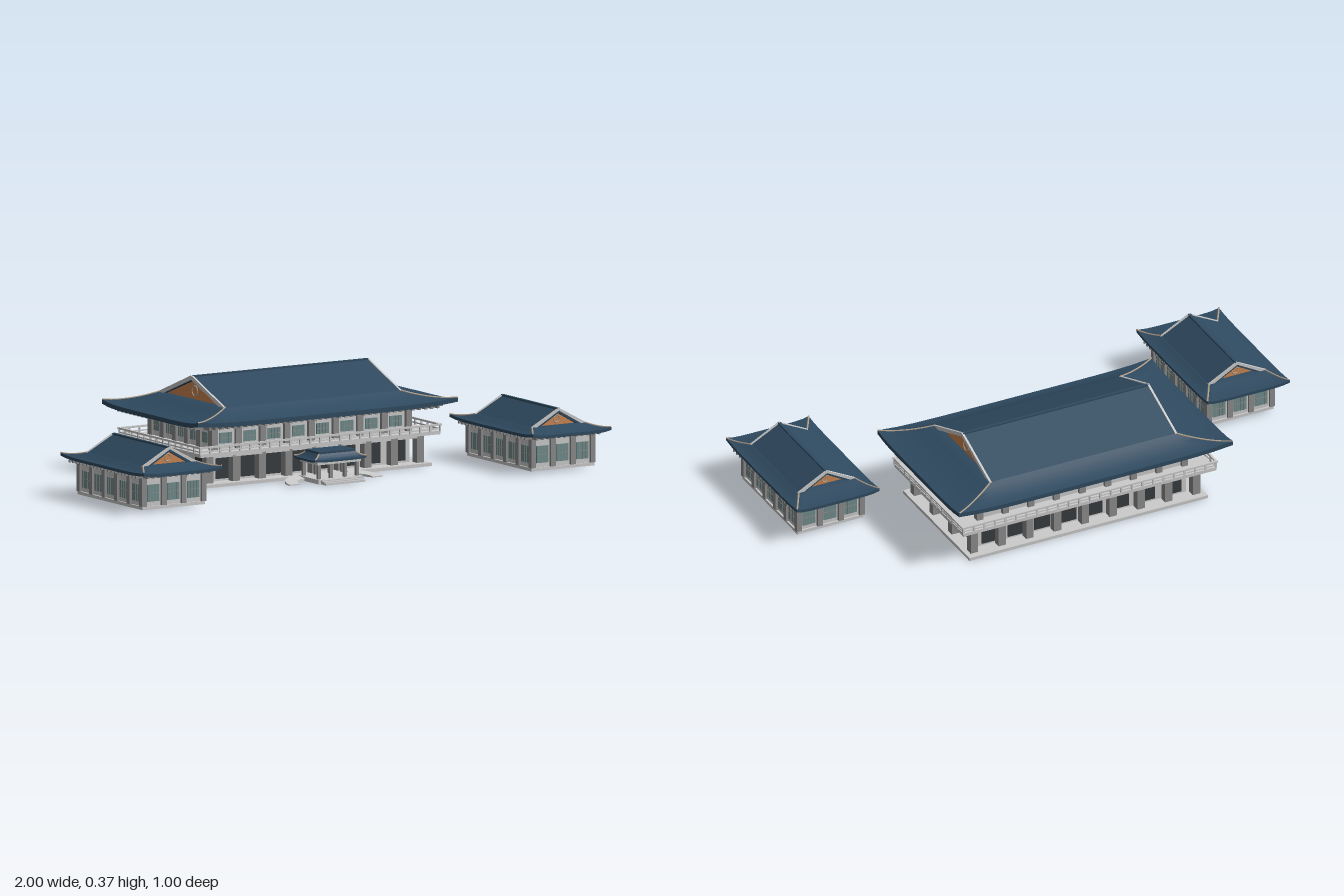
import * as THREE from 'three';
import { toCreasedNormals } from 'three/addons/utils/BufferGeometryUtils.js';

const mat = (color, side = THREE.FrontSide) => new THREE.MeshStandardMaterial({ color, side });
const WALL = mat(0xcccccc), COLUMN = mat(0x8c8c8c), TILE = mat(0x2f4a60), GABLE = mat(0xcb8550);
const GLASS = mat(0x6f8c8c), DARK = mat(0x383c3e), TRIM = mat(0xb8a590);

function add(parent, name, geo, material, x = 0, y = 0, z = 0, ry = 0) {
  const m = new THREE.Mesh(geo, material);
  m.name = name;
  m.position.set(x, y, z);
  m.rotation.y = ry;
  parent.add(m);
  return m;
}

// Box given by its size and its bottom and top heights
const box = (p, name, w, y0, y1, d, material, x = 0, z = 0, ry = 0) =>
  add(p, name, new THREE.BoxGeometry(w, y1 - y0, d), material, x, (y0 + y1) / 2, z, ry);

function group(parent, name, x = 0, y = 0, z = 0) {
  const g = new THREE.Group();
  g.name = name;
  g.position.set(x, y, z);
  parent.add(g);
  return g;
}

// Calls fn(x, z, rotation) at the bay centres (or bay boundaries) along all four sides
function around(hx, hz, nx, nz, fn, boundaries = false) {
  const o = boundaries ? 0 : 0.5;
  for (const s of [1, -1]) {
    for (let i = 0; i < nx; i++) fn(s * hx * (-1 + 2 * (i + o) / nx), s * hz, s > 0 ? 0 : Math.PI);
    for (let i = 0; i < nz; i++) fn(s * hx, -s * hz * (-1 + 2 * (i + o) / nz), s * Math.PI / 2);
  }
}

// Hipped skirt: rectangular rings [hx, hz, y, corner lift] joined into one surface
function loft(rings, n = 14) {
  const pos = [], idx = [], N = 4 * n;
  for (const [hx, hz, y, lift] of rings) {
    const c = [[hx, hz], [hx, -hz], [-hx, -hz], [-hx, hz]];
    for (let s = 0; s < 4; s++) for (let k = 0; k < n; k++) {
      const f = k / n, a = c[s], b = c[(s + 1) % 4];
      pos.push(a[0] + (b[0] - a[0]) * f, y + lift * Math.abs(2 * f - 1) ** 6, a[1] + (b[1] - a[1]) * f);
    }
  }
  for (let r = 0; r < rings.length - 1; r++) for (let k = 0; k < N; k++) {
    const a = r * N + k, b = r * N + (k + 1) % N;
    idx.push(a, a + N, b, b, a + N, b + N);
  }
  const g = new THREE.BufferGeometry();
  g.setAttribute('position', new THREE.Float32BufferAttribute(pos, 3));
  g.setIndex(idx);
  return toCreasedNormals(g, 0.5);
}

function skirtRoof(p, { L, D, G, M, eave, mid, lift, thick, inX, inZ }) {
  const rings = [[G * 0.8, M * 0.8, mid, 0]], steps = 6;
  for (let i = 0; i <= steps; i++) {
    const t = i / steps;
    rings.push([G + (L - G) * t, M + (D - M) * t, eave + (mid - eave) * (1 - t) ** 1.6, lift * t * t]);
  }
  const hips = rings.slice(1);
  rings.push([L, D, eave - thick, lift], [inX, inZ, eave - thick, 0]);
  add(p, 'lowerRoof', loft(rings), TILE);
  // Hip ridges at the four corners
  for (const sx of [1, -1]) for (const sz of [1, -1]) {
    const pts = hips.map(([x, z, y, l]) => new THREE.Vector3(sx * x, y + l, sz * z));
    add(p, 'hipRidge', new THREE.TubeGeometry(new THREE.CatmullRomCurve3(pts), 12, 0.0035, 5), TRIM);
  }
}

// Sloped pair of roof planes as a chevron, extruded along x
function chevron(hz, y0, y1, t, depth) {
  const s = new THREE.Shape();
  [[-hz, y0], [-hz + t * 2.4, y0], [0, y1 - t], [hz - t * 2.4, y0], [hz, y0], [0, y1]]
    .forEach(([x, y], i) => (i ? s.lineTo(x, y) : s.moveTo(x, y)));
  return new THREE.ExtrudeGeometry(s, { depth, bevelEnabled: false })
    .translate(0, 0, -depth / 2).rotateY(Math.PI / 2);
}

// Hip-and-gable roof with its ridge along x
function gableRoof(p, o) {
  const { G, M, mid, ridge } = o;
  skirtRoof(p, o);
  add(p, 'upperRoof', chevron(M, mid, ridge, 0.015, 2 * G), TILE);
  const tri = new THREE.Shape();
  tri.moveTo(-M + 0.015, mid - 0.002); tri.lineTo(M - 0.015, mid - 0.002); tri.lineTo(0, ridge - 0.008);
  const d = 2 * (G - 0.014);
  add(p, 'gableWall', new THREE.ExtrudeGeometry(tri, { depth: d, bevelEnabled: false })
    .translate(0, 0, -d / 2).rotateY(Math.PI / 2), GABLE);
  box(p, 'ridgeBeam', 2 * G, ridge - 0.006, ridge + 0.003, 0.012, TILE);
  const r = (ridge - mid) * 0.22;
  for (const s of [1, -1]) {
    add(p, 'bargeBoard', chevron(M + 0.004, mid, ridge + 0.004, o.barge, 0.008), WALL, s * G);
    add(p, 'gableRing', new THREE.TorusGeometry(r, 0.0025, 6, 20), TRIM,
      s * (d / 2 + 0.001), mid + (ridge - mid) * 0.36, 0, Math.PI / 2);
  }
}

// Window or door panel with a frame and mullions, facing local +z
function panel(p, name, w, y0, y1, x, z, ry, material, bars) {
  const g = group(p, name, x, 0, z);
  g.rotation.y = ry;
  box(g, 'pane', w, y0, y1, 0.008, material);
  for (let i = 1; i <= bars; i++) box(g, 'mullion', 0.002, y0, y1, 0.011, COLUMN, w * (i / (bars + 1) - 0.5));
  if (bars) box(g, 'crossbar', w, (y0 + y1) / 2 - 0.001, (y0 + y1) / 2 + 0.001, 0.011, COLUMN);
}

function mainHall(root) {
  const g = group(root, 'mainHall', 0.006, 0, -0.175);
  box(g, 'baseSlab', 0.966, 0, 0.012, 0.53, WALL);
  // Ground floor with its colonnade
  box(g, 'groundFloor', 0.85, 0.012, 0.115, 0.41, WALL);
  around(0.425, 0.205, 8, 3, (x, z, r) =>
    panel(g, 'groundOpening', 0.064, 0.02, 0.098, x, z, r, DARK, 0));
  around(0.45, 0.225, 8, 3, (x, z) => box(g, 'groundColumn', 0.03, 0.012, 0.115, 0.03, COLUMN, x, z), true);
  box(g, 'balconyBeam', 0.93, 0.102, 0.118, 0.48, WALL);
  box(g, 'balconySlab', 1.025, 0.115, 0.128, 0.55, WALL);
  // Balcony railing
  for (const s of [1, -1]) {
    box(g, 'handrail', 1.035, 0.147, 0.154, 0.008, WALL, 0, s * 0.274);
    box(g, 'handrail', 0.008, 0.147, 0.154, 0.555, WALL, s * 0.513);
    box(g, 'lowerRail', 1.03, 0.133, 0.138, 0.004, WALL, 0, s * 0.272);
    box(g, 'lowerRail', 0.004, 0.133, 0.138, 0.55, WALL, s * 0.511);
  }
  around(0.512, 0.273, 24, 13, (x, z) => box(g, 'railPost', 0.006, 0.125, 0.15, 0.006, WALL, x, z), true);
  // Upper floor
  box(g, 'upperFloor', 0.83, 0.125, 0.224, 0.41, WALL);
  around(0.415, 0.205, 8, 5, (x, z, r) => {
    panel(g, 'upperWindow', 0.052, 0.148, 0.187, x, z, r, GLASS, 3);
    panel(g, 'transom', 0.052, 0.194, 0.204, x, z, r, WALL, 0);
  });
  around(0.415, 0.205, 8, 5, (x, z) => box(g, 'upperColumn', 0.025, 0.125, 0.215, 0.025, COLUMN, x, z), true);
  // Eave brackets and rafters
  around(0.43, 0.22, 32, 16, (x, z, r) => box(g, 'bracket', 0.01, 0.208, 0.224, 0.035, WALL, x, z, r));
  around(0.5, 0.272, 38, 20, (x, z, r) => box(g, 'rafter', 0.01, 0.216, 0.228, 0.06, COLUMN, x, z, r));
  box(g, 'eaveBeam', 0.89, 0.213, 0.224, 0.47, WALL);
  gableRoof(g, { L: 0.555, D: 0.325, G: 0.376, M: 0.222, eave: 0.241, mid: 0.28, ridge: 0.365,
    lift: 0.012, thick: 0.016, inX: 0.41, inZ: 0.2, barge: 0.016 });
}

function wing(root, side) {
  const g = group(root, side > 0 ? 'leftWing' : 'rightWing', side * 0.831, 0, 0.214);
  g.rotation.y = Math.PI / 2;
  box(g, 'wingBase', 0.438, 0.008, 0.02, 0.268, WALL);
  box(g, 'wingBody', 0.425, 0.015, 0.135, 0.255, WALL);
  around(0.2125, 0.1275, 5, 3, (x, z, r) => {
    panel(g, 'wingWindow', 0.05, 0.036, 0.098, x, z, r, GLASS, 3);
    panel(g, 'wingTransom', 0.055, 0.112, 0.122, x, z, r, WALL, 0);
  });
  around(0.2125, 0.1275, 5, 3, (x, z) => box(g, 'wingColumn', 0.02, 0.02, 0.135, 0.02, COLUMN, x, z), true);
  around(0.235, 0.145, 20, 12, (x, z, r) => box(g, 'wingRafter', 0.007, 0.127, 0.136, 0.045, COLUMN, x, z, r));
  gableRoof(g, { L: 0.282, D: 0.167, G: 0.189, M: 0.113, eave: 0.146, mid: 0.163, ridge: 0.222,
    lift: 0.008, thick: 0.011, inX: 0.2, inZ: 0.12, barge: 0.01 });
}

function porch(root) {
  const g = group(root, 'porch', 0.01, 0, 0.16);
  box(g, 'porchFloor', 0.19, 0, 0.016, 0.14, WALL);
  for (let i = 0; i < 3; i++) box(g, 'step', 0.17, 0, 0.015 - i * 0.004, 0.07, WALL, 0, 0.045 + i * 0.012);
  for (const x of [-0.082, -0.03, 0.03, 0.082]) for (const z of [-0.05, 0.05])
    box(g, 'porchColumn', 0.012, 0.012, 0.078, 0.012, COLUMN, x, z);
  box(g, 'porchBeam', 0.185, 0.068, 0.08, 0.12, WALL);
  skirtRoof(g, { L: 0.11, D: 0.07, G: 0.078, M: 0.045, eave: 0.086, mid: 0.105, lift: 0.004,
    thick: 0.008, inX: 0.08, inZ: 0.045 });
  box(g, 'porchRoofTop', 0.156, 0.098, 0.113, 0.09, TILE);
  // Curved ramps sweeping down on both sides
  for (const s of [1, -1]) {
    const shape = new THREE.Shape();
    shape.absarc(0, 0, 0.1, 0, Math.PI / 2, false);
    shape.absarc(0, 0, 0.055, Math.PI / 2, 0, true);
    const geo = new THREE.ExtrudeGeometry(shape, { depth: 0.02, bevelEnabled: false, curveSegments: 16 })
      .rotateX(-Math.PI / 2);
    const p = geo.attributes.position;
    for (let i = 0; i < p.count; i++)
      if (p.getY(i) > 0.01) p.setY(i, 0.004 + 0.014 * Math.min(1, -p.getZ(i) / 0.1));
    geo.computeVertexNormals();
    // A half turn of the quarter arc: rotate rather than mirror so faces stay outward
    add(g, 'curvedRamp', geo, WALL, s * 0.1, 0, 0.04, 0);
    if (s < 0) {
      for (let i = 0; i < p.count; i++) p.setX(i, -p.getX(i));
      for (let i = 0; i < p.count; i += 3) {
        const a = [p.getX(i), p.getY(i), p.getZ(i)];
        p.setXYZ(i, p.getX(i + 1), p.getY(i + 1), p.getZ(i + 1));
        p.setXYZ(i + 1, ...a);
      }
      geo.computeVertexNormals();
    }
  }
}

export function createModel() {
  const root = new THREE.Group();
  root.name = 'palaceCompound';
  mainHall(root);
  wing(root, 1);
  wing(root, -1);
  porch(root);
  return root;
}
